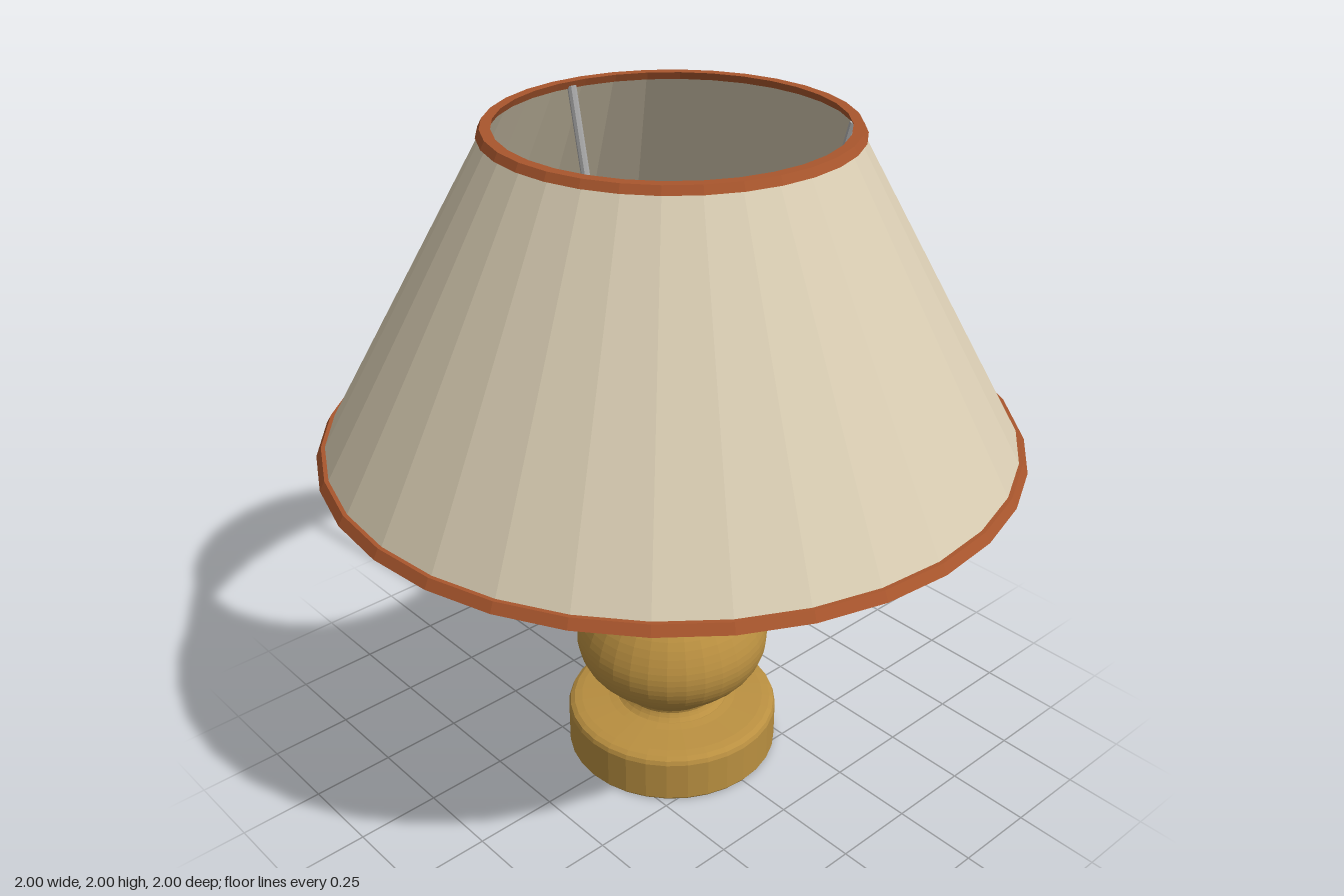
import * as THREE from 'three';

const SIDES = 32;
const material = (color) => new THREE.MeshStandardMaterial({ color, flatShading: true, side: THREE.DoubleSide });
const wood = material(0xb98f40);
const fabric = material(0xd8ccb2);
const trim = material(0xa9562d);
const darkMetal = material(0x6a6a6a);
const wire = material(0xaaaaaa);

const toPoints = (list) => list.map(([r, y]) => new THREE.Vector2(r, y));

// Turned part from [radius, height] pairs, outside going up
function turned(name, points, mat) {
  const mesh = new THREE.Mesh(new THREE.LatheGeometry(points, SIDES), mat);
  mesh.name = name;
  return mesh;
}

// Straight wire between two points
function rod(name, a, b, radius) {
  const dir = b.clone().sub(a);
  const mesh = new THREE.Mesh(new THREE.CylinderGeometry(radius, radius, dir.length(), 8), wire);
  mesh.position.copy(a).add(b).multiplyScalar(0.5);
  mesh.quaternion.setFromUnitVectors(new THREE.Vector3(0, 1, 0), dir.normalize());
  mesh.name = name;
  return mesh;
}

export function createModel() {
  const lamp = new THREE.Group();
  lamp.name = 'tableLamp';

  // Foot: a thick disc with a softened top edge
  lamp.add(turned('foot', toPoints([
    [0, 0], [0.322, 0], [0.326, 0.006], [0.326, 0.13], [0.321, 0.143], [0.308, 0.152],
    [0.285, 0.157], [0.2, 0.165], [0.175, 0.17], [0, 0.17],
  ]), wood));

  // Body: vase-shaped turning
  const vase = new THREE.SplineCurve(toPoints([
    [0.175, 0.168], [0.158, 0.185], [0.158, 0.205], [0.21, 0.25], [0.26, 0.3], [0.286, 0.35],
    [0.293, 0.4], [0.283, 0.45], [0.255, 0.51], [0.21, 0.57], [0.17, 0.64], [0.14, 0.71],
    [0.12, 0.78], [0.113, 0.83], [0.122, 0.86], [0.14, 0.875],
  ])).getPoints(40);
  lamp.add(turned('body', vase, wood));

  // Collar and domed cap
  lamp.add(turned('cap', toPoints([
    [0.12, 0.87], [0.15, 0.885], [0.178, 0.892], [0.187, 0.9], [0.183, 0.91], [0.165, 0.918],
    [0.159, 0.93], [0.157, 0.955], [0.15, 0.985], [0.136, 1.012], [0.113, 1.032],
    [0.085, 1.043], [0.05, 1.046], [0, 1.046],
  ]), wood));

  // Hollow bulb socket
  lamp.add(turned('socket', toPoints([
    [0.05, 1.04], [0.075, 1.053], [0.105, 1.07], [0.117, 1.09], [0.12, 1.11], [0.12, 1.15],
    [0.107, 1.165], [0.107, 1.195], [0.12, 1.21], [0.12, 1.245], [0.113, 1.258],
    [0.1, 1.258], [0.092, 1.245], [0.092, 1.1], [0.05, 1.1],
  ]), darkMetal));
  const contact = new THREE.Mesh(new THREE.CylinderGeometry(0.052, 0.052, 0.06, SIDES), wood);
  contact.position.y = 1.072;
  contact.name = 'contact';
  lamp.add(contact);

  // Shade carrier: a ring on the socket and three bent arms
  const ring = new THREE.Mesh(new THREE.TorusGeometry(0.127, 0.013, 8, SIDES), wire);
  ring.rotation.x = Math.PI / 2;
  ring.position.y = 1.165;
  ring.name = 'carrierRing';
  lamp.add(ring);
  for (const degrees of [38, 163, 276]) {
    const angle = THREE.MathUtils.degToRad(degrees);
    const at = (r, y) => new THREE.Vector3(r * Math.cos(angle), y, r * Math.sin(angle));
    const arm = new THREE.Group();
    arm.name = 'carrierArm';
    const elbow = new THREE.Mesh(new THREE.SphereGeometry(0.0135, 8, 6), wire);
    elbow.position.copy(at(0.28, 1.165));
    elbow.name = 'elbow';
    arm.add(rod('armFoot', at(0.125, 1.165), at(0.28, 1.165), 0.013));
    arm.add(elbow, rod('armUpright', at(0.28, 1.165), at(0.475, 1.985), 0.013));
    lamp.add(arm);
  }

  // Conical fabric shade
  lamp.add(turned('shade', toPoints([[0.985, 1.1], [0.486, 1.99]]), fabric));

  // Trim bands around both rims
  lamp.add(turned('bottomTrim', toPoints([
    [0.975, 1.093], [1, 1.093], [0.985, 1.12], [0.96, 1.12], [0.975, 1.093],
  ]), trim));
  lamp.add(turned('topTrim', toPoints([
    [0.476, 1.978], [0.506, 1.978], [0.495, 2], [0.466, 2], [0.476, 1.978],
  ]), trim));

  return lamp;
}
